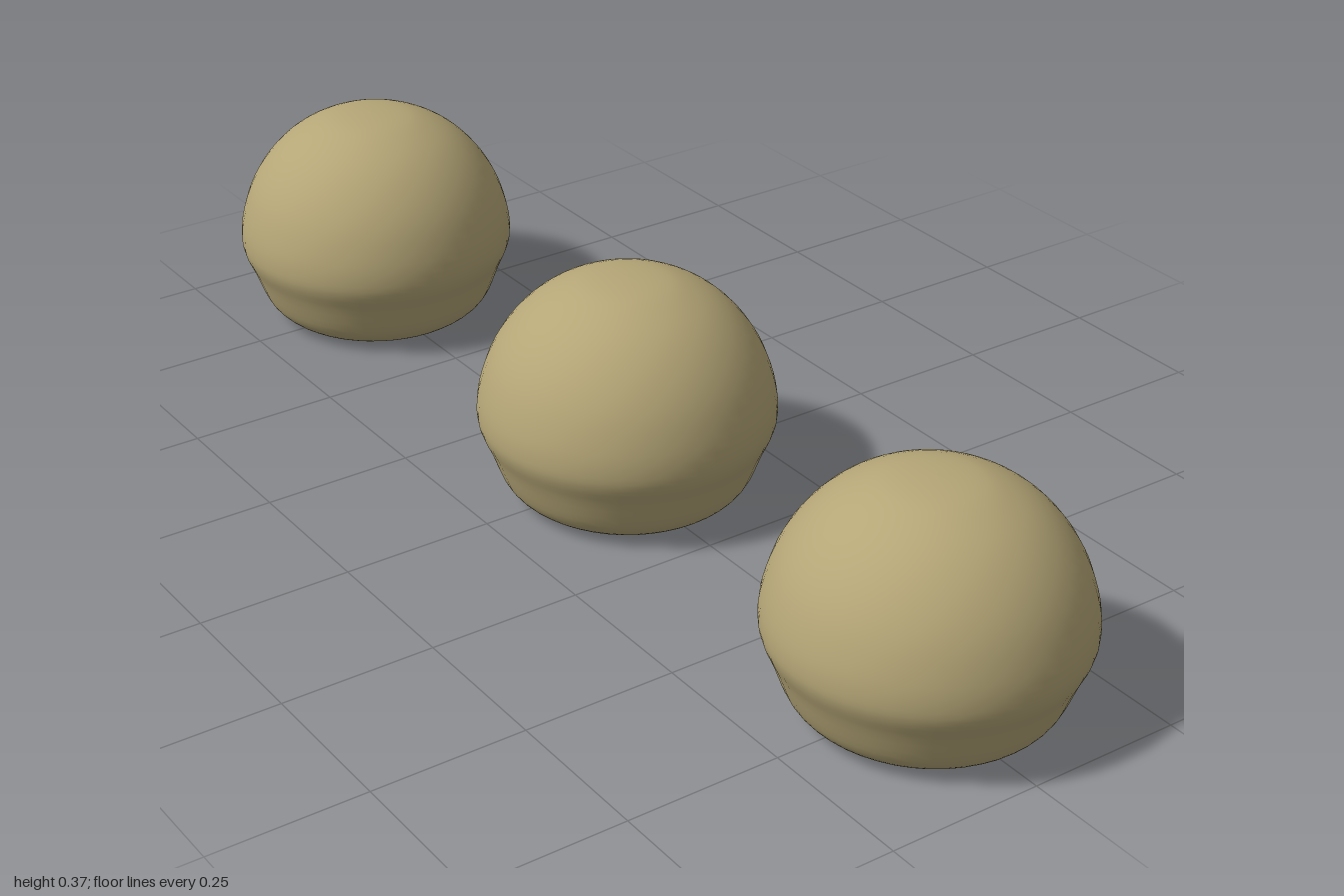
import * as THREE from 'three';

// Half outline of one bun, from the centre of the base to the crown
const PROFILE = [
  [0.15, 0.003], [0.17, 0.012], [0.19, 0.028], [0.204, 0.05], [0.221, 0.095],
  [0.234, 0.125], [0.238, 0.15], [0.234, 0.187], [0.219, 0.235], [0.196, 0.277],
  [0.165, 0.314], [0.128, 0.343], [0.082, 0.365], [0.04, 0.373], [0, 0.375],
];

export function createModel() {
  const model = new THREE.Group();
  model.name = 'threeBuns';
  const dough = new THREE.MeshStandardMaterial({ color: 0xb5a677 });
  dough.name = 'dough';

  // Smooth domed body with a soft lower edge
  const curve = new THREE.SplineCurve(PROFILE.map(([x, y]) => new THREE.Vector2(x, y)));
  const outline = curve.getPoints(42);
  outline[outline.length - 1].set(0, 0.375);
  const bodyGeometry = new THREE.LatheGeometry(outline, 48);

  // Flat underside
  const baseGeometry = new THREE.CircleGeometry(0.15, 48);
  baseGeometry.rotateX(Math.PI / 2);
  baseGeometry.translate(0, 0.003, 0);

  // Three buns in a row, the middle one slightly forward of centre
  [['frontBun', 0.762], ['middleBun', 0.025], ['backBun', -0.762]].forEach(([name, z]) => {
    const bun = new THREE.Group();
    bun.name = name;
    const body = new THREE.Mesh(bodyGeometry, dough);
    body.name = 'dome';
    const base = new THREE.Mesh(baseGeometry, dough);
    base.name = 'underside';
    bun.add(body, base);
    bun.position.set(0, -0.003, z);
    model.add(bun);
  });
  return model;
}
